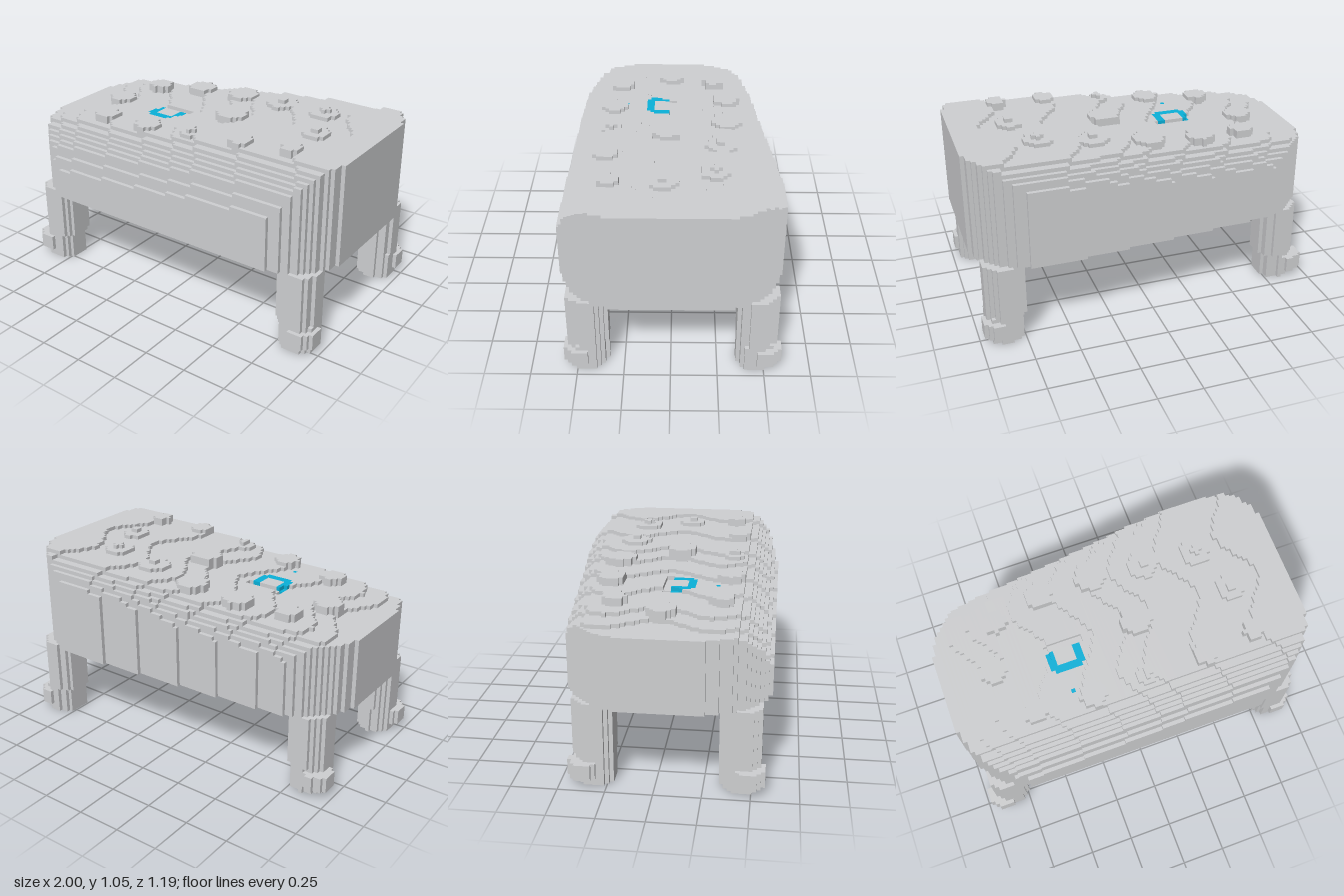
import * as THREE from 'three';

// Stepped block model: every part is a rule on a regular grid of small cubes
const V = 2 / 91, N = [91, 48, 54];
const ORIGIN = [-1, 0, -27 * V];
const BASE = 21, WALL = 4;
const at = (axis, i) => ORIGIN[axis] + (i + 0.5) * V;

// Plan outline with rounded corners; the back edge runs askew
const backEdge = x => Math.min(0.5945, 0.555 + 0.09 * x);
function inPlan(x, z, inset) {
  const edge = z > 0 ? 0.5945 : backEdge(x);
  const rz = z > 0 && x < 0 ? 0.36 : 0.29;
  const dx = Math.max(0, Math.abs(x) - 0.69) / (0.31 - inset);
  const dz = Math.max(0, Math.abs(z) - (edge - rz)) / (rz - inset);
  return dx ** 1.7 + dz ** 1.7 < 0.95;
}

// Terraced lid: wavy steps climbing to +x, rounded over at front and back
const STEPS = [-0.83, -0.7, -0.45, -0.2, 0, 0.15, 0.42, 0.77];
const fall = (u, drop) => u <= 0 ? 0 : drop * (1 - Math.sqrt(Math.max(0, 1 - u * u)));
const terrace = (x, z) => 39 + STEPS.filter(s => x > s + 0.07 * Math.cos(z * 11.2)).length;
function topLevel(x, z) {
  const front = fall((z - 0.37) / 0.228, 0.37);
  const back = fall((-z - backEdge(x) + 0.165) / 0.17, 0.2);
  const groove = x > -0.41 && x < -0.19 && z > -0.012 && z < 0.012 ? 1 : 0;
  return terrace(x, z) - Math.round((front + back) / V) - groove;
}

// Blue U-shaped inlay and dot, flush with the lid
const inBox = (x, z, x0, x1, z0, z1) => x > x0 && x < x1 && z > z0 && z < z1;
const isInlay = (x, z) =>
  (inBox(x, z, -0.41, -0.21, 0.012, 0.13) && !inBox(x, z, -0.37, -0.25, 0.012, 0.11))
  || inBox(x, z, -0.38, -0.23, 0.12, 0.15) || inBox(x, z, -0.345, -0.32, 0.255, 0.28);

// Hollow shell, open below
function isShell(x, z, j) {
  if (j < BASE || !inPlan(x, z, 0)) return false;
  const h = topLevel(x, z);
  return j < h && !(inPlan(x, z, WALL * V) && j < h - WALL);
}

// Outer skin of a set of cubes, faces joined into strips
function blockMesh(name, material, lo, hi, rule) {
  const from = lo.map((p, a) => Math.max(0, Math.floor((p - ORIGIN[a]) / V)));
  const to = hi.map((p, a) => Math.min(N[a], Math.ceil((p - ORIGIN[a]) / V)));
  const n = to.map((t, a) => t - from[a]);
  const cells = new Uint8Array(n[0] * n[1] * n[2]);
  const id = c => (c[0] * n[1] + c[1]) * n[2] + c[2];
  for (let i = 0; i < n[0]; i++) for (let j = 0; j < n[1]; j++) for (let k = 0; k < n[2]; k++) {
    const y = j + from[1];
    if (rule(at(0, i + from[0]), at(2, k + from[2]), y)) cells[id([i, j, k])] = 1;
  }
  const filled = c => c.every((p, a) => p >= 0 && p < n[a]) && cells[id(c)] === 1;
  const pos = [], index = [];
  for (let d = 0; d < 3; d++) for (const side of [1, -1]) {
    const u = (d + 1) % 3, w = (d + 2) % 3, c = [0, 0, 0], next = [0, 0, 0];
    const open = () => {
      if (!filled(c)) return false;
      for (let a = 0; a < 3; a++) next[a] = c[a];
      next[d] += side;
      return !filled(next);
    };
    for (let p = 0; p < n[d]; p++) for (let q = 0; q < n[w]; q++) {
      let start = -1;
      for (let r = 0; r <= n[u]; r++) {
        c[d] = p; c[w] = q; c[u] = r;
        const show = r < n[u] && open();
        if (show && start < 0) start = r;
        if (!show && start >= 0) {
          const b = pos.length / 3;
          for (const [e, f] of [[start, q], [r, q], [r, q + 1], [start, q + 1]]) {
            const v = [0, 0, 0];
            v[d] = p + (side > 0 ? 1 : 0); v[u] = e; v[w] = f;
            pos.push(...v.map((m, a) => ORIGIN[a] + (m + from[a]) * V));
          }
          index.push(...(side > 0 ? [b, b + 1, b + 2, b, b + 2, b + 3] : [b, b + 2, b + 1, b, b + 3, b + 2]));
          start = -1;
        }
      }
    }
  }
  const g = new THREE.BufferGeometry();
  g.setAttribute('position', new THREE.Float32BufferAttribute(pos, 3));
  g.setIndex(index);
  g.computeVertexNormals();
  const mesh = new THREE.Mesh(g, material);
  mesh.name = name;
  return mesh;
}

export function createModel() {
  const model = new THREE.Group();
  model.name = 'steppedTable';
  const gray = new THREE.MeshStandardMaterial({ color: 0xcfd0d2 });
  gray.name = 'light gray';
  const blue = new THREE.MeshStandardMaterial({ color: 0x0ab2da });
  blue.name = 'cyan blue';
  const all = [[-1, 0, -0.6], [1, 1.06, 0.6]];

  // Body and inlay
  const onInlay = (x, z, j) => j === topLevel(x, z) - 1 && isInlay(x, z);
  model.add(blockMesh('bodyShell', gray, ...all, (x, z, j) => isShell(x, z, j) && !onInlay(x, z, j)));
  model.add(blockMesh('inlay', blue, ...all, (x, z, j) => isShell(x, z, j) && onInlay(x, z, j)));

  // Round studs on the lid: x, z, radius, top level, small tip on top or not
  const studs = [
    [-0.61, -0.25, 0.065, 43, 0], [-0.33, -0.31, 0.075, 44, 0], [-0.03, -0.31, 0.085, 45, 0],
    [0.27, -0.27, 0.085, 46, 1], [0.57, -0.23, 0.08, 47, 1], [-0.7, 0.01, 0.075, 42, 0],
    [0.12, 0.03, 0.085, 46, 0], [0.67, 0.04, 0.075, 47, 1], [-0.56, 0.31, 0.065, 43, 0],
    [-0.24, 0.34, 0.07, 44, 0], [0.07, 0.34, 0.055, 45, 1], [0.4, 0.35, 0.06, 47, 0],
    [0.69, 0.32, 0.055, 48, 0],
  ];
  for (const [sx, sz, r, level, tip] of studs) {
    model.add(blockMesh('stud', gray, [sx - 0.1, 0.7, sz - 0.1], [sx + 0.1, 1.06, sz + 0.1], (x, z, j) => {
      const d = Math.hypot(x - sx, z - sz);
      return j >= topLevel(x, z) && ((d < r && j < level) || (tip && d < 0.025 && j < level + 1));
    }));
  }

  // Legs with a rounded toe pointing to the outer corner
  for (const [name, sx, lz, sz] of [
    ['frontLeftLeg', 1, 0.445, 1], ['frontRightLeg', -1, 0.445, 1],
    ['backLeftLeg', 1, -0.46, -1], ['backRightLeg', -1, -0.325, -1],
  ]) {
    const lx = sx > 0 ? 0.855 : -0.835;
    const tx = 0.895 * sx, tz = lz + sz * 0.045;
    model.add(blockMesh(name, gray, [lx - 0.2, 0, lz - 0.2], [lx + 0.2, 1, lz + 0.2], (x, z, j) => {
      const high = j > 6;
      const inLeg = Math.hypot(x - (lx - (high ? 0.012 * sx : 0)), z - lz) < (high ? 0.112 : 0.105);
      if (j < BASE) return inLeg || (j >= 2 && j < 6 && Math.hypot(x - tx, z - tz) < 0.085);
      return inLeg && inPlan(x, z, 0) && j < topLevel(x, z) && !isShell(x, z, j);
    }));
  }
  return model;
}
